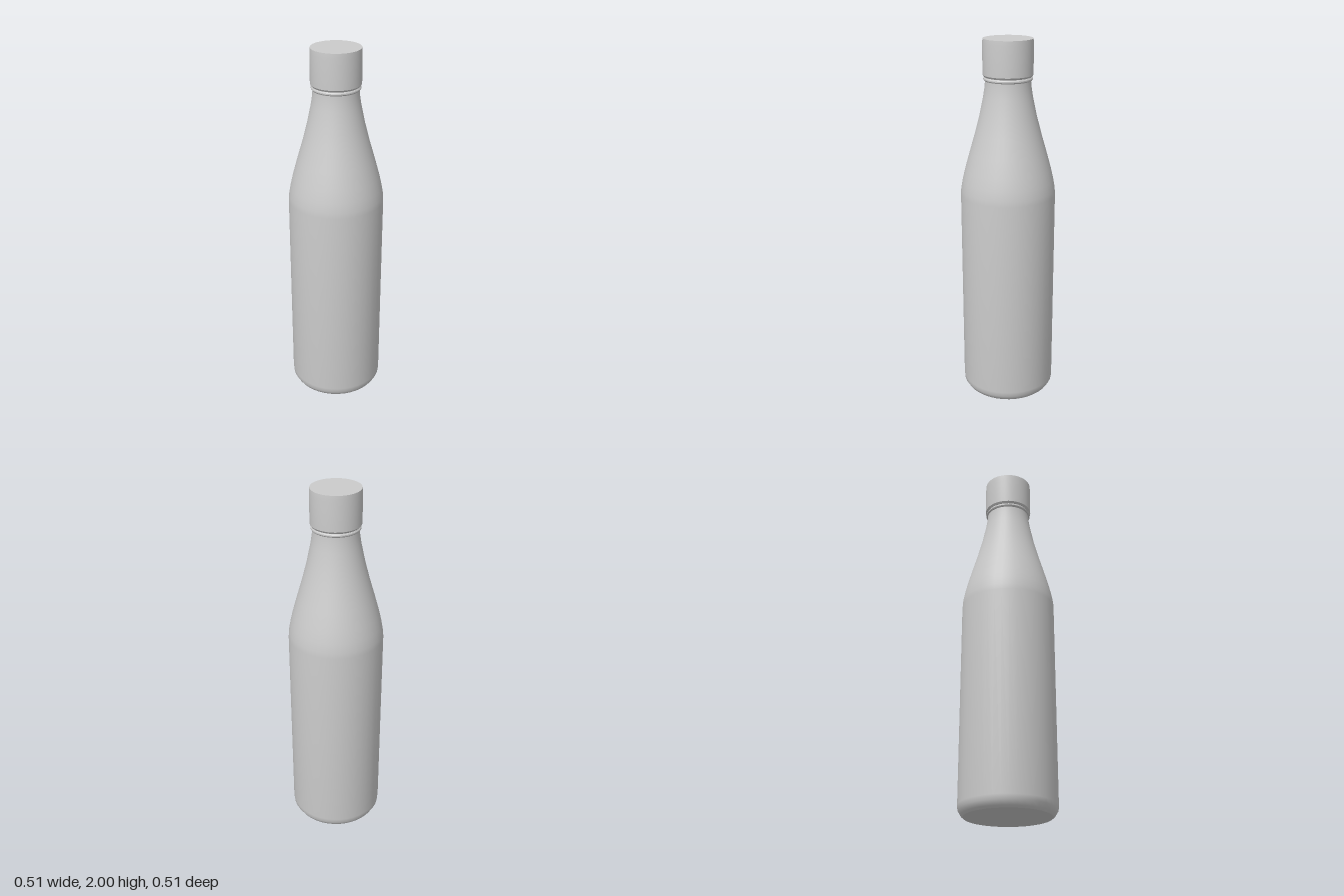
import * as THREE from 'three';
import { toCreasedNormals } from 'three/addons/utils/BufferGeometryUtils.js';

const SIDES = 40;

// Turned part from [radius, height] pairs, listed bottom to top
function turned(name, profile, material) {
  const points = profile.map(([r, y]) => new THREE.Vector2(r, y));
  const geometry = toCreasedNormals(new THREE.LatheGeometry(points, SIDES), 0.5);
  const mesh = new THREE.Mesh(geometry, material);
  mesh.name = name;
  return mesh;
}

export function createModel() {
  const material = new THREE.MeshStandardMaterial({ color: 0xcccccc });
  const bottle = new THREE.Group();
  bottle.name = 'bottle';

  // Flat base with a chamfered foot, straight body, tapering shoulder and neck
  bottle.add(turned('bottleBody', [
    [0, 0], [0.228, 0], [0.24, 0.01], [0.255, 0.035], [0.257, 0.06],
    [0.257, 1.17], [0.255, 1.2], [0.246, 1.25], [0.232, 1.31],
    [0.207, 1.4], [0.178, 1.5], [0.152, 1.6], [0.131, 1.7],
    [0.123, 1.75], [0.119, 1.8], [0.119, 1.83],
  ], material));

  // Thin ring around the neck under the cap
  bottle.add(turned('neckRing', [
    [0.115, 1.783], [0.125, 1.785], [0.129, 1.791], [0.129, 1.797],
    [0.125, 1.803], [0.115, 1.804],
  ], material));

  // Closed cap with a softened lower rim
  bottle.add(turned('cap', [
    [0, 1.805], [0.126, 1.805], [0.133, 1.815], [0.133, 1.975],
    [0.131, 2], [0, 2],
  ], material));

  return bottle;
}
